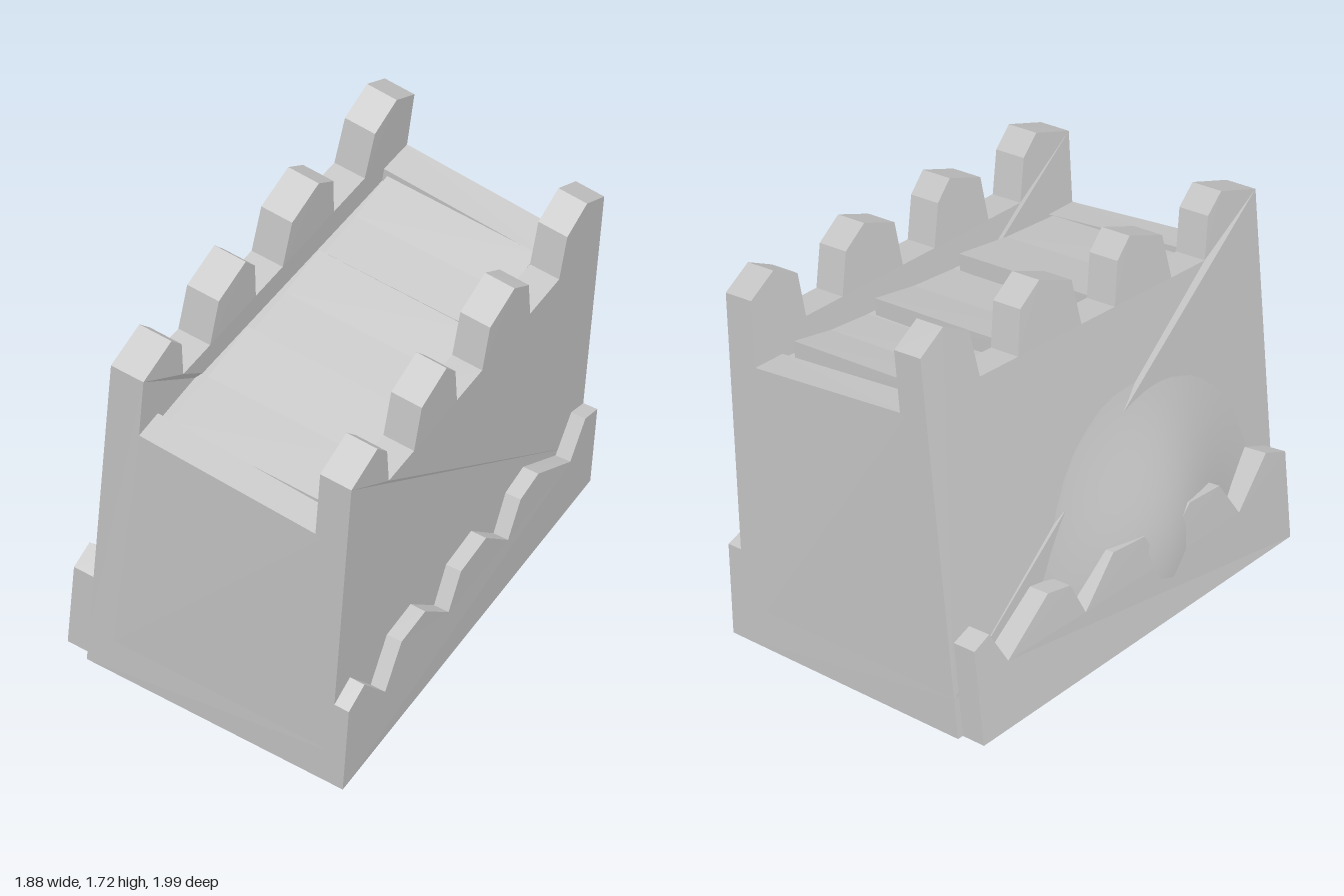
import * as THREE from 'three';

const V = (x, y, z) => new THREE.Vector3(x, y, z);

// Corners of the leaning block: [base, merlon top]
const leftFront = [V(-0.09, 0.17, 0.99), V(0.045, 1.54, 0.98)];
const leftBack = [V(-0.86, 0.225, -0.61), V(-0.595, 1.72, -0.63)];
const rightFront = [V(0.785, 0.0, 0.595), V(0.95, 1.39, 0.61)];
const rightBack = [V(0.045, 0.21, -0.97), V(0.25, 1.58, -0.95)];

// u: front to back, h: base to merlon top, s: left face to right face (as seen from the front)
function place(u, h, s) {
  const edge = (c) => c[0].clone().lerp(c[1], h);
  const a = edge(leftFront).lerp(edge(leftBack), u);
  const b = edge(rightFront).lerp(edge(rightBack), u);
  return a.lerp(b, s);
}

function bend(geometry, smooth = false) {
  const g = geometry.index && !smooth ? geometry.toNonIndexed() : geometry;
  const p = g.attributes.position;
  for (let i = 0; i < p.count; i++) {
    const q = place(p.getX(i), p.getY(i), p.getZ(i));
    p.setXYZ(i, q.x, q.y, q.z);
  }
  g.computeVertexNormals();
  return g;
}

// Box in wall coordinates; drop lowers the top towards the right
function slab(u0, u1, h0, h1, s0, s1, drop = 0) {
  const g = new THREE.BoxGeometry(u1 - u0, h1 - h0, s1 - s0);
  g.translate((u0 + u1) / 2, (h0 + h1) / 2, (s0 + s1) / 2);
  const p = g.attributes.position;
  for (let i = 0; i < p.count; i++) {
    if (p.getY(i) > (h0 + h1) / 2) p.setY(i, h1 - drop * p.getZ(i));
  }
  return bend(g);
}

function panel(points, s0, s1) {
  const shape = new THREE.Shape(points.map(([u, h]) => new THREE.Vector2(u, h)));
  const g = new THREE.ExtrudeGeometry(shape, { depth: s1 - s0, bevelEnabled: false });
  g.translate(0, 0, s0);
  return bend(g);
}

export function createModel() {
  const group = new THREE.Group();
  const stone = new THREE.MeshStandardMaterial({ color: 0xc8c8c8 });
  stone.name = 'grey stone';
  const add = (name, geometry) => {
    const m = new THREE.Mesh(geometry, stone);
    m.name = name;
    group.add(m);
  };

  // Crenellated long walls
  const outline = [[0, 0.1]];
  const merlons = [[0, 0.16, 0.7], [0.26, 0.43, 0.7], [0.53, 0.72, 0.6], [0.835, 1, 0.5]];
  for (const [a, b, peak] of merlons) {
    const a1 = a === 0 ? 0 : a + 0.018;
    const b1 = b === 1 ? 1 : b - 0.018;
    if (a > 0) outline.push([a, 0.835]);
    outline.push([a1, 0.96], [a1 + (b1 - a1) * peak, 1], [b1, 0.95]);
    if (b < 1) outline.push([b, 0.835]);
  }
  outline.push([1, 0.1]);
  add('leftWall', panel(outline, 0, 0.135));
  add('rightWall', panel(outline, 0.87, 1));

  // Ragged plinths along both long sides
  const ragged = [[0, 0], [0, 0.255], [0.06, 0.285], [0.155, 0.165], [0.21, 0.275], [0.305, 0.28],
    [0.41, 0.17], [0.45, 0.265], [0.55, 0.275], [0.65, 0.165], [0.69, 0.26], [0.76, 0.275],
    [0.9, 0.17], [0.95, 0.265], [1, 0.245], [1, 0]];
  const leftRagged = ragged.map(([u, h]) => [0.02 + 0.965 * u, h * 0.95]);
  add('leftPlinth', panel(leftRagged, -0.1, 0.01));
  add('rightPlinth', panel(ragged, 0.99, 1.06));

  // Broad swelling of the left wall
  const swell = new THREE.PlaneGeometry(1, 1, 24, 16);
  const p = swell.attributes.position;
  for (let i = 0; i < p.count; i++) {
    const u = 0.01 + 0.98 * (0.5 - p.getX(i));
    const h = 0.83 * (p.getY(i) + 0.5);
    const spread = u > 0.38 ? 0.26 : 0.2;
    const bump = Math.exp(-Math.pow((u - 0.38) / spread, 2) - Math.pow((h - 0.2) / 0.33, 2));
    p.setXYZ(i, u, h, 0.01 - 0.118 * bump);
  }
  add('leftWallSwelling', bend(swell, true));

  // End walls and core
  add('frontWall', slab(0, 0.075, 0.1, 0.79, 0.1, 0.9, 0.03));
  add('backWall', slab(0.915, 1, 0.1, 0.795, 0.1, 0.9, 0.03));
  add('core', slab(0.05, 0.95, 0.1, 0.755, 0.1, 0.9));

  // Narrow base rim around a dished underside
  add('frontBaseRim', slab(0, 0.03, 0, 0.1, 0, 1));
  add('backBaseRim', slab(0.97, 1, 0, 0.1, 0, 1));
  add('leftBaseRim', slab(0.03, 0.97, 0, 0.1, 0, 0.05));
  add('rightBaseRim', slab(0.03, 0.97, 0, 0.1, 0.95, 1));
  const dish = new THREE.PlaneGeometry(0.94, 0.9, 16, 16);
  const d = dish.attributes.position;
  for (let i = 0; i < d.count; i++) {
    const u = 0.5 + d.getX(i);
    const s = 0.5 + d.getY(i);
    const inset = Math.min(u - 0.03, 0.97 - u, s - 0.05, 0.95 - s);
    d.setXYZ(i, u, 0.06 * Math.min(1, Math.max(0, inset) / 0.25), s);
  }
  add('undersideDish', bend(dish, true));

  // Three slightly tilted walkway plates
  for (const [a, b] of [[0.08, 0.375], [0.395, 0.64], [0.665, 0.895]]) {
    add('walkwayPlate', panel([[a, 0.74], [a, 0.768], [(a + b) / 2, 0.778], [b, 0.8], [b, 0.74]].reverse(), 0.17, 0.84));
  }
  return group;
}
